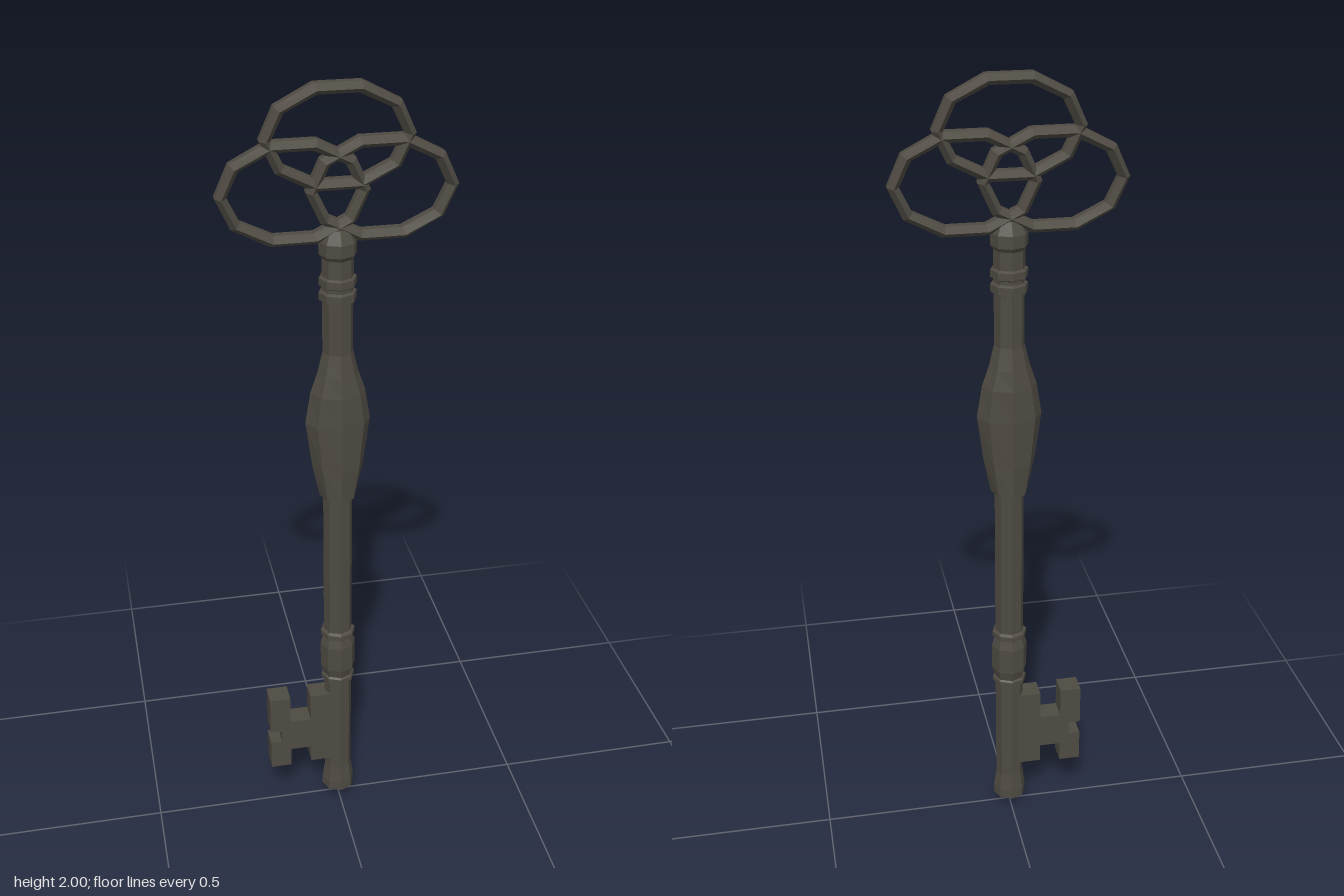
import * as THREE from 'three';

const iron = new THREE.MeshStandardMaterial({ color: 0x4e4a42, flatShading: true });
iron.name = 'dark iron';

function part(geometry, name) {
  const mesh = new THREE.Mesh(geometry, iron);
  mesh.name = name;
  return mesh;
}

// Eight-sided turned piece from rows of [height, half width, half depth]
function turned(rows, name) {
  const points = rows.map(([y, rx]) => new THREE.Vector2(rx, y));
  const g = new THREE.LatheGeometry(points, 8);
  const p = g.attributes.position;
  for (let i = 0; i < p.count; i++) {
    const [, rx, rz = rx] = rows[i % rows.length];
    if (rx > 0) p.setZ(i, p.getZ(i) * rz / rx);
  }
  g.computeVertexNormals();
  return part(g, name);
}

// Ten-sided oval ring with a deep six-sided section
function bowRing(x, y, name) {
  const section = [[0, -0.03], [0.0135, -0.01], [0.0135, 0.01], [0, 0.03],
    [-0.0135, 0.01], [-0.0135, -0.01], [0, -0.03]];
  const g = new THREE.LatheGeometry(
    section.map(([d, h]) => new THREE.Vector2(1 + d, h)), 10, Math.PI / 2);
  g.rotateX(Math.PI / 2);
  const p = g.attributes.position;
  for (let i = 0; i < p.count; i++) {
    const len = Math.hypot(p.getX(i), p.getY(i));
    const d = len - 1;
    p.setX(i, p.getX(i) / len * (0.163 + d));
    p.setY(i, p.getY(i) / len * (0.113 + d));
  }
  g.computeVertexNormals();
  const mesh = part(g, name);
  mesh.position.set(x, y, -0.002);
  return mesh;
}

export function createModel() {
  const key = new THREE.Group();
  key.name = 'key';

  // Shaft with pointed foot and lower collar
  key.add(turned([
    [0.005, 0], [0.035, 0.043], [0.06, 0.043], [0.11, 0.036],
    [0.405, 0.037], [0.408, 0.044], [0.42, 0.044], [0.424, 0.039],
    [0.45, 0.046], [0.52, 0.046], [0.545, 0.039], [0.548, 0.045],
    [0.562, 0.045], [0.567, 0.037], [0.97, 0.037],
  ], 'lowerShaft'));

  // Swollen grip, wider than deep
  key.add(turned([
    [0.97, 0.036, 0.036], [0.975, 0.046, 0.053], [1.06, 0.064, 0.056],
    [1.18, 0.08, 0.057], [1.26, 0.067, 0.055], [1.31, 0.05, 0.048],
    [1.365, 0.037, 0.037],
  ], 'grip'));

  // Upper shaft, stacked collars and the cap under the bow
  key.add(turned([
    [1.365, 0.037], [1.495, 0.037], [1.498, 0.045], [1.517, 0.045],
    [1.521, 0.038], [1.53, 0.038], [1.534, 0.045], [1.552, 0.045],
    [1.556, 0.038], [1.6, 0.038], [1.61, 0.045], [1.64, 0.045],
    [1.67, 0.03], [1.675, 0],
  ], 'neck'));

  // Three overlapping rings of the bow
  key.add(bowRing(0, 1.88, 'topRing'));
  for (const side of [-1, 1]) {
    key.add(bowRing(side * 0.102, 1.758, side > 0 ? 'leftRing' : 'rightRing'));
  }

  // Toothed bit
  const outline = [
    [-0.02, 0.365], [-0.08, 0.365], [-0.08, 0.288], [-0.135, 0.288],
    [-0.135, 0.367], [-0.19, 0.367], [-0.19, 0.26], [-0.16, 0.26],
    [-0.16, 0.224], [-0.19, 0.224], [-0.19, 0.14], [-0.135, 0.14],
    [-0.135, 0.194], [-0.08, 0.194], [-0.08, 0.145], [-0.02, 0.145],
  ].map(([x, y]) => new THREE.Vector2(x, y));
  const bit = new THREE.ExtrudeGeometry(new THREE.Shape(outline),
    { depth: 0.056, bevelEnabled: false });
  bit.translate(0, 0, -0.028);
  key.add(part(bit, 'bit'));

  return key;
}
